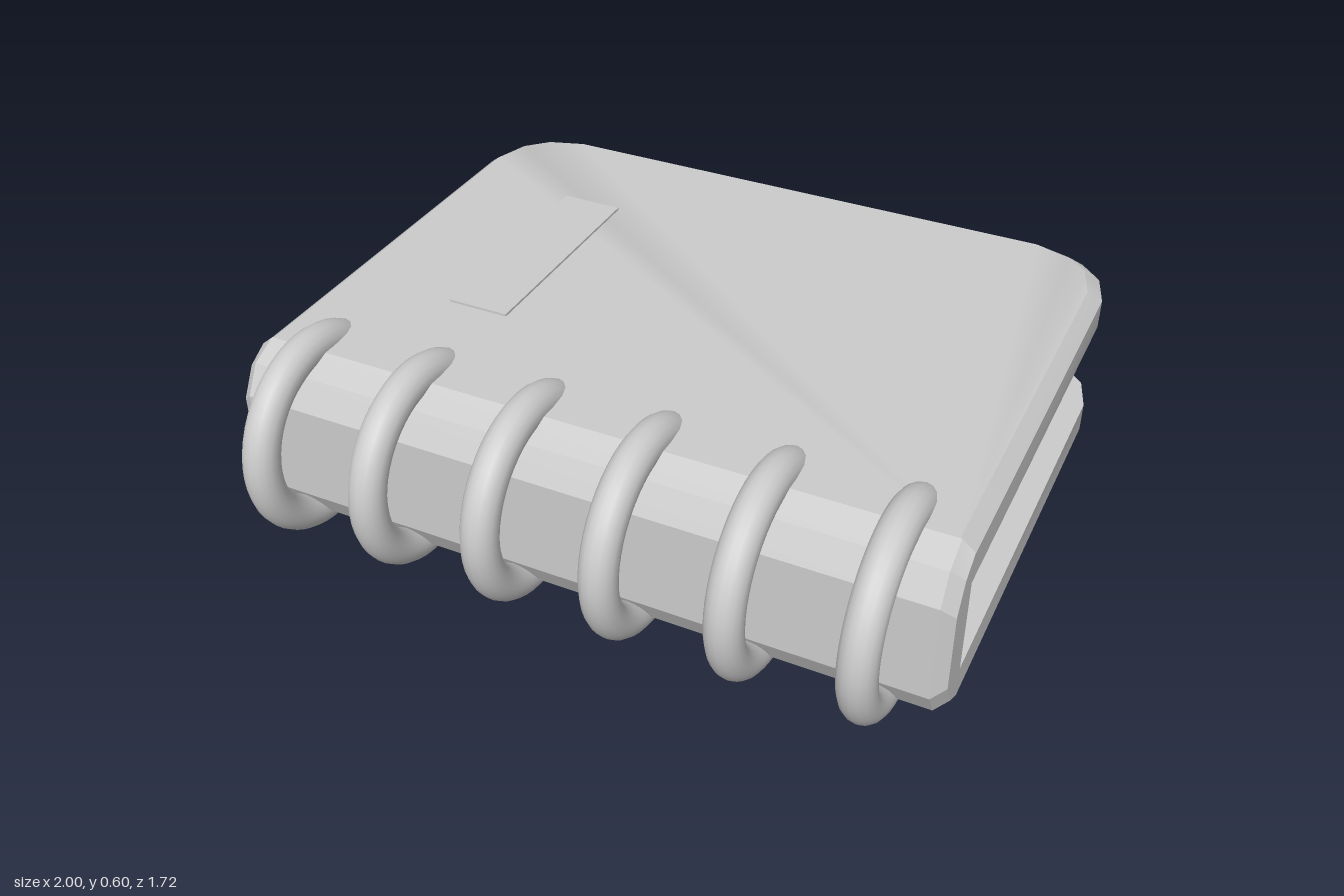
import * as THREE from 'three';
import { toCreasedNormals } from 'three/addons/utils/BufferGeometryUtils.js';

const material = new THREE.MeshStandardMaterial({ color: 0xcccccc });
const MID_Y = 0.2875; // height about which the two covers mirror

// Skins a stack of convex rings (counter-clockwise seen from the last ring) and caps both ends.
function loft(rings, crease) {
  const n = rings[0].length;
  const index = [];
  for (let k = 0; k < rings.length - 1; k++) {
    for (let i = 0; i < n; i++) {
      const a = k * n + i, b = k * n + (i + 1) % n;
      index.push(a, b, b + n, a, b + n, a + n);
    }
  }
  const top = (rings.length - 1) * n;
  for (let i = 1; i < n - 1; i++) {
    index.push(0, i + 1, i, top, top + i, top + i + 1);
  }
  const geometry = new THREE.BufferGeometry();
  geometry.setAttribute('position', new THREE.Float32BufferAttribute(rings.flat(2), 3));
  geometry.setIndex(index);
  return toCreasedNormals(geometry, crease);
}

function add(parent, name, geometry, x = 0, y = 0, z = 0) {
  const mesh = new THREE.Mesh(geometry, material);
  mesh.name = name;
  mesh.position.set(x, y, z);
  parent.add(mesh);
  return mesh;
}

// Cover board: rounded back corners, chamfered outer edge.
function boardGeometry() {
  const half = [[1, 0.55], [1, -0.65], [0.965, -0.76], [0.9, -0.825], [0.79, -0.86]];
  const outline = [...half, ...half.map(([x, z]) => [-x, z]).reverse()];
  const ring = (y, s) => outline.map(([x, z]) => [x * s, y, z < 0 ? z * s : z]);
  return loft([ring(0.425, 1), ring(0.512, 1), ring(0.545, 0.96)], 0.6);
}

// Spine: faceted profile run along x, chamfered at both ends.
function spineGeometry() {
  const half = [[0.55, 0.2575], [0.63, 0.2225], [0.675, 0.1425]];
  const profile = [...half, ...half.map(([z, h]) => [z, -h]).reverse()];
  const ring = (x, inset) => profile.map(([z, h]) => [
    x,
    MID_Y + h - Math.sign(h) * inset,
    z > 0.6 ? z - inset * 0.7 : z,
  ]);
  return loft([ring(-1, 0.03), ring(-0.965, 0), ring(0.965, 0), ring(1, 0.03)], 0.3);
}

export function createModel() {
  const model = new THREE.Group();
  model.name = 'ringBoundBook';

  // Covers and spine
  const board = boardGeometry();
  add(model, 'topCover', board);
  const bottom = add(model, 'bottomCover', board, 0, 2 * MID_Y, 0);
  bottom.scale.y = -1;
  add(model, 'spine', spineGeometry());

  // Sloped inner wall of the spine
  const liner = [[1, 0.55], [0.9, 0.51], [-0.9, 0.51], [-1, 0.55]];
  add(model, 'spineLining', loft(
    [0.15, 0.425].map((y) => liner.map(([x, z]) => [x, y, z])), 0.1));

  // Page block
  add(model, 'pages', new THREE.BoxGeometry(1.8, 0.275, 1.3), 0, MID_Y, -0.13);

  // Raised label on the top cover
  add(model, 'label', new THREE.BoxGeometry(0.18, 0.02, 0.67), -0.54, 0.542, -0.145);

  // Binding rings
  const ring = new THREE.TorusGeometry(0.25, 0.05, 16, 48).rotateY(Math.PI / 2);
  const rings = new THREE.Group();
  rings.name = 'bindingRings';
  for (let i = 0; i < 6; i++) {
    add(rings, 'bindingRing', ring, -0.84 + i * 0.333, 0.3, 0.56);
  }
  model.add(rings);

  return model;
}
